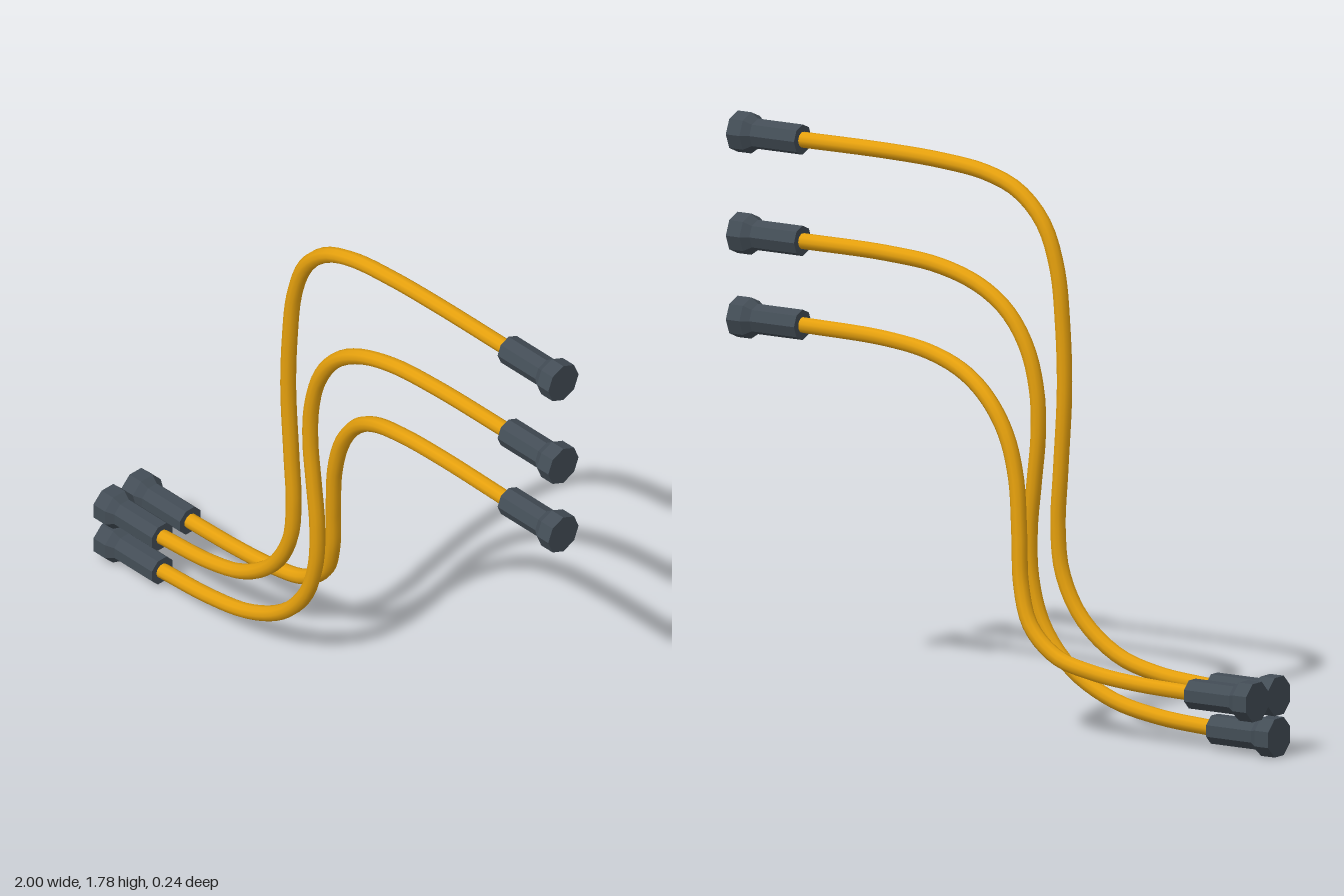
import * as THREE from 'three';

const cableMat = new THREE.MeshStandardMaterial({ name: 'amber cable', color: 0xe5a00d });
const plugMat = new THREE.MeshStandardMaterial({ name: 'slate plug', color: 0x434d56, flatShading: true });

const FRONT_Z = 0.055;

// Plug profile as [radius, distance from the inner end]
const plugProfile = [[0, 0], [0.047, 0], [0.047, 0.165], [0.064, 0.19], [0.064, 0.24], [0, 0.24]]
  .map(([r, d]) => new THREE.Vector2(r, d));

// Octagonal plug pointing outwards along x; side is 1 or -1
function makePlug(side, y, z) {
  const geo = new THREE.LatheGeometry(plugProfile, 8);
  if (side < 0) geo.rotateY(Math.PI / 8);
  geo.rotateZ(-side * Math.PI / 2);
  const plug = new THREE.Mesh(geo, plugMat);
  plug.name = side > 0 ? 'leftPlug' : 'rightPlug';
  plug.position.set(side * 0.76, y, z);
  return plug;
}

// Cable through [x, y, z] points, with a plug at each end
function makeCable(name, points) {
  const group = new THREE.Group();
  group.name = name;
  const path = points.map(([x, y, z = FRONT_Z]) => new THREE.Vector3(x, y, z));
  const curve = new THREE.CatmullRomCurve3(path);
  const wire = new THREE.Mesh(new THREE.TubeGeometry(curve, 72, 0.0245, 10), cableMat);
  wire.name = 'wire';
  const a = path[0], b = path[path.length - 1];
  group.add(wire, makePlug(1, a.y, a.z), makePlug(-1, b.y, b.z));
  return group;
}

export function createModel() {
  const model = new THREE.Group();
  model.name = 'cableSet';
  model.add(
    makeCable('upperCable', [
      [0.77, 1.717], [0.45, 1.717], [0.25, 1.71], [0.08, 1.69], [-0.04, 1.645], [-0.13, 1.555],
      [-0.18, 1.42], [-0.2, 1.25], [-0.207, 1.05], [-0.193, 0.8], [-0.183, 0.62], [-0.2, 0.48],
      [-0.27, 0.35], [-0.4, 0.25], [-0.55, 0.207], [-0.77, 0.188],
    ]),
    makeCable('middleCable', [
      [0.77, 1.403], [0.45, 1.4], [0.25, 1.382], [0.1, 1.335], [0, 1.265], [-0.07, 1.16],
      [-0.105, 1.03], [-0.11, 0.9], [-0.095, 0.75], [-0.08, 0.6], [-0.086, 0.45], [-0.13, 0.31],
      [-0.23, 0.19], [-0.38, 0.11], [-0.55, 0.075], [-0.77, 0.06],
    ]),
    // The lower cable swings to the back as it drops
    makeCable('lowerCable', [
      [0.77, 1.143, 0.055], [0.45, 1.137, 0.046], [0.27, 1.115, 0.033], [0.13, 1.07, 0.012],
      [0.03, 1.0, -0.006], [-0.04, 0.9, -0.014], [-0.08, 0.77, -0.02], [-0.1, 0.6, -0.032],
      [-0.115, 0.45, -0.044], [-0.16, 0.33, -0.058], [-0.26, 0.245, -0.063], [-0.4, 0.21, -0.063],
      [-0.55, 0.195, -0.063], [-0.77, 0.188, -0.063],
    ]),
  );
  return model;
}
